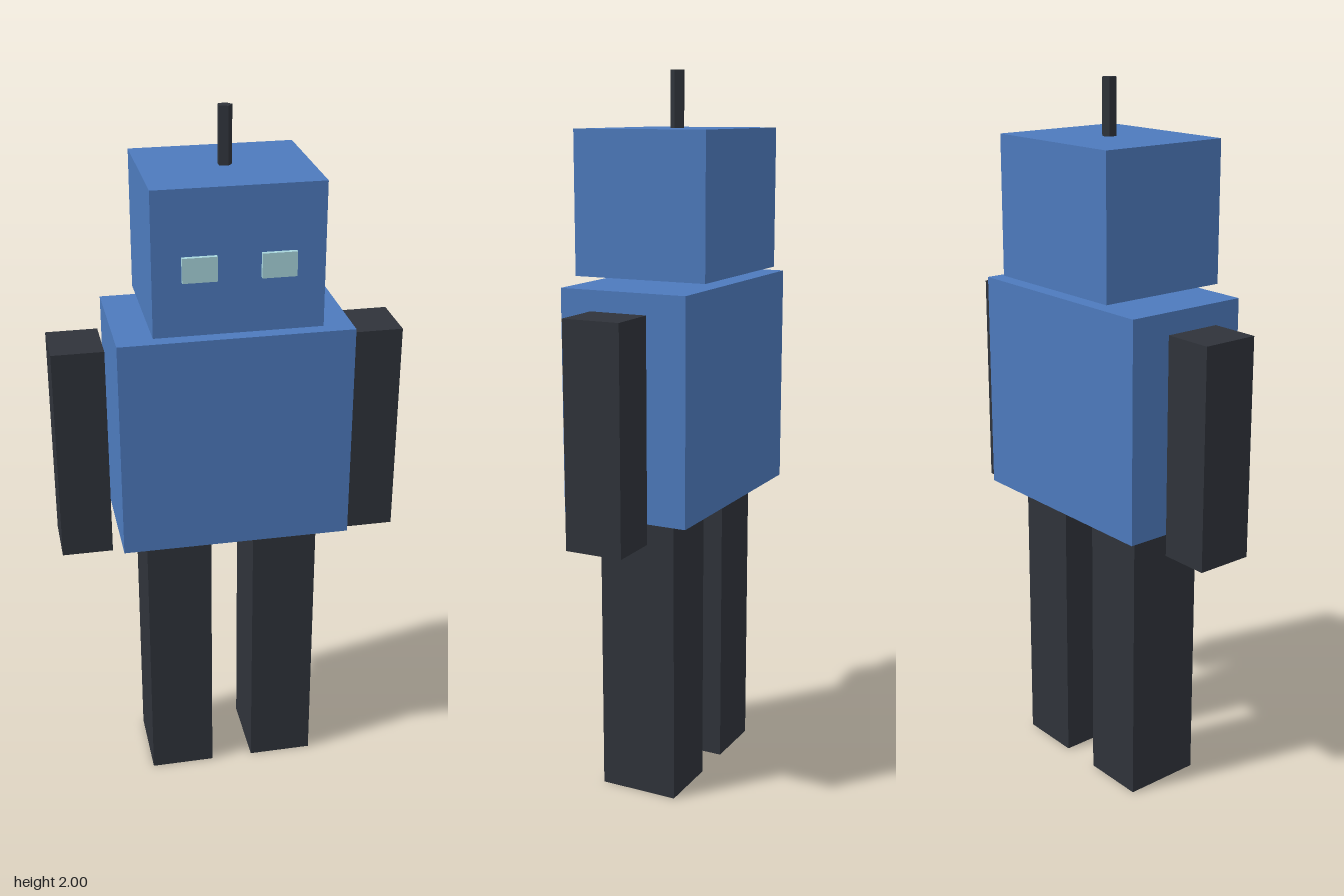
import * as THREE from 'three';

export function createModel() {
  const robot = new THREE.Group();
  robot.name = 'robot';

  const paint = (color) => new THREE.MeshStandardMaterial({ color, flatShading: true });
  const blue = paint(0x4d7abd);
  const dark = paint(0x2f333a);
  const glow = paint(0xa8d5dc);
  const midZ = -0.006; // body centreline; the eyes stick out in front

  const add = (name, geometry, material, x, y, z = midZ) => {
    const mesh = new THREE.Mesh(geometry, material);
    mesh.name = name;
    mesh.position.set(x, y, z);
    robot.add(mesh);
    return mesh;
  };
  const box = (name, [w, h, d], material, x, y, z) =>
    add(name, new THREE.BoxGeometry(w, h, d), material, x, y, z);

  // Body and head, with a narrow gap at the neck
  box('torso', [0.636, 0.616, 0.368], blue, 0, 1.13);
  box('head', [0.45, 0.388, 0.388], blue, 0, 1.653);

  // Paired parts: the model's left is +x
  for (const [side, s] of [['left', 1], ['right', -1]]) {
    box(`${side}Arm`, [0.142, 0.612, 0.164], dark, s * 0.41, 1.079);
    box(`${side}Leg`, [0.184, 0.822, 0.226], dark, s * 0.153, 0.411);
    box(`${side}Eye`, [0.091, 0.066, 0.024], glow, s * 0.103, 1.639, 0.188);
  }

  // Five-sided antenna with one corner towards +x
  const antenna = add('antenna', new THREE.CylinderGeometry(0.02, 0.02, 0.153, 5), dark, 0, 1.9235);
  antenna.rotation.y = Math.PI / 2;

  return robot;
}
